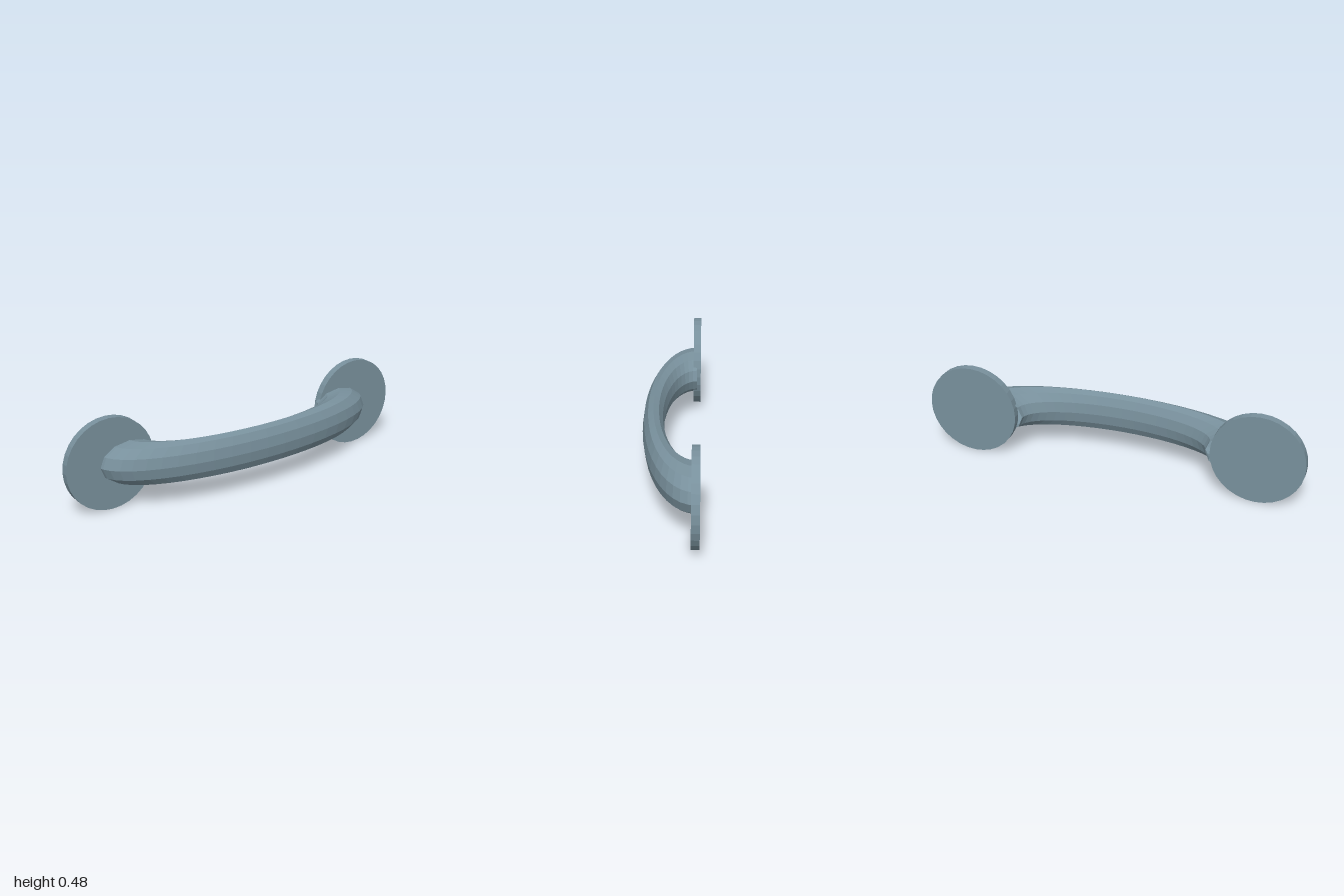
import * as THREE from 'three';

export function createModel() {
  const model = new THREE.Group();
  model.name = 'pullHandle';

  const metal = new THREE.MeshStandardMaterial({ color: 0x78909c, flatShading: true, side: THREE.DoubleSide });
  metal.name = 'blueGreyMetal';

  // Bowed grip: half a ring, stretched sideways and flattened in depth
  const gripShape = new THREE.TorusGeometry(0.437, 0.11, 12, 24, Math.PI);
  gripShape.rotateX(Math.PI / 2);
  gripShape.scale(1.5, 1, 0.5);
  const grip = new THREE.Mesh(gripShape, metal);
  grip.name = 'grip';
  grip.position.set(0, 0.231, -0.126);
  model.add(grip);

  // Round mounting plates at both ends
  const plateShape = new THREE.CylinderGeometry(0.24, 0.24, 0.04, 32);
  plateShape.rotateX(Math.PI / 2);
  for (const side of [-1, 1]) {
    const plate = new THREE.Mesh(plateShape, metal);
    plate.name = side > 0 ? 'leftMountingPlate' : 'rightMountingPlate';
    plate.position.set(side * 0.76, 0.24, -0.127);
    model.add(plate);
  }

  return model;
}
